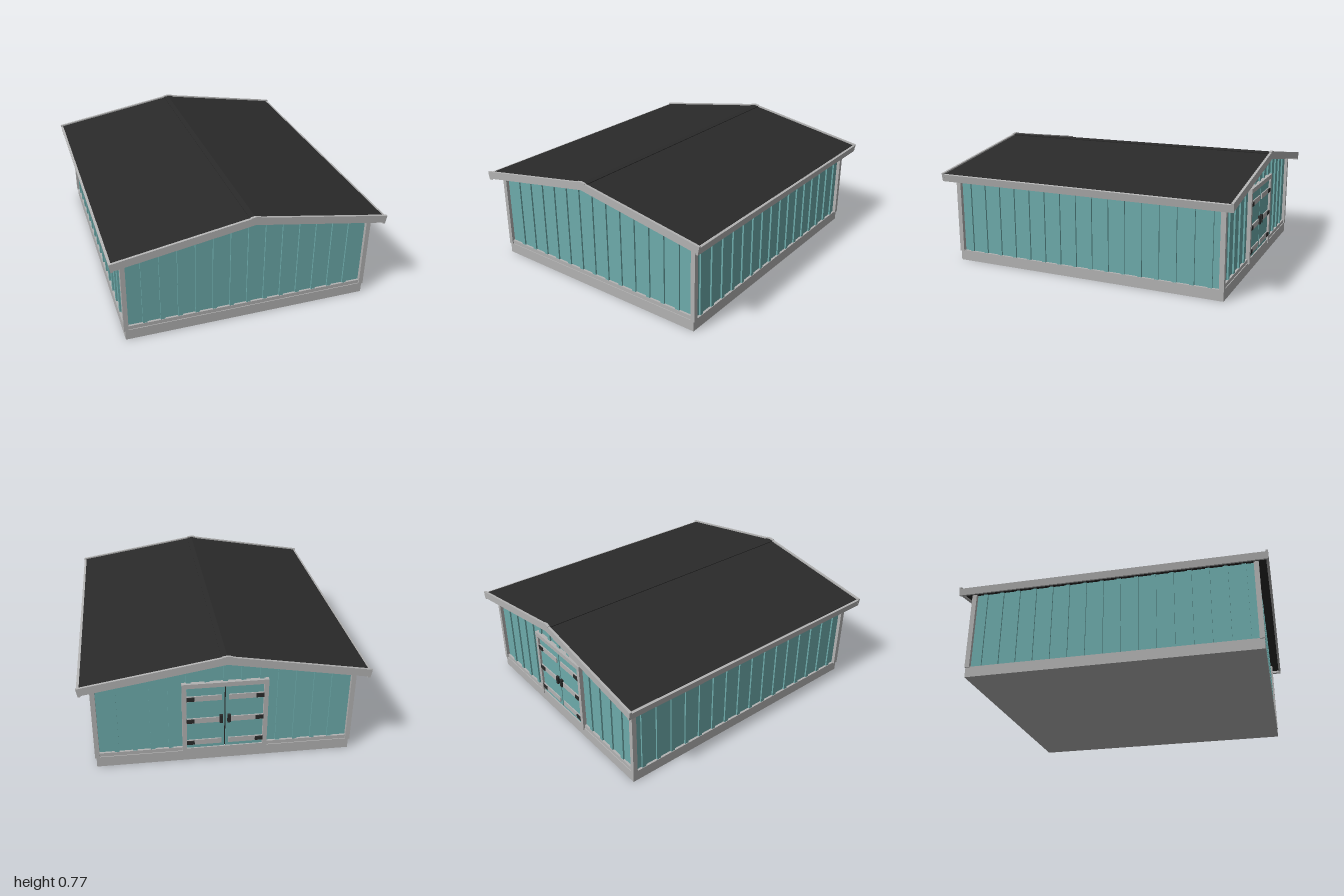
import * as THREE from 'three';

const SLOPE = 0.17;

export function createModel() {
  const model = new THREE.Group();
  model.name = 'shed';
  const mat = (name, color) => {
    const m = new THREE.MeshStandardMaterial({ color });
    m.name = name;
    return m;
  };
  const trim = mat('grey trim', 0xb3b3b3);
  const teal = mat('teal siding', 0x6dabab);
  const black = mat('black roofing', 0x2a2a2a);

  const add = (name, geometry, material, parent = model) => {
    const mesh = new THREE.Mesh(geometry, material);
    mesh.name = name;
    parent.add(mesh);
    return mesh;
  };
  // Box given by its low and high limits on each axis
  const box = (name, x0, x1, y0, y1, z0, z1, material, parent) => {
    const mesh = add(name, new THREE.BoxGeometry(x1 - x0, y1 - y0, z1 - z0), material, parent);
    mesh.position.set((x0 + x1) / 2, (y0 + y1) / 2, (z0 + z1) / 2);
    return mesh;
  };
  // Outline in x and y, pulled along z
  const prism = (name, points, z0, z1, material) => {
    const shape = new THREE.Shape(points.map(([x, y]) => new THREE.Vector2(x, y)));
    const geometry = new THREE.ExtrudeGeometry(shape, { depth: z1 - z0, bevelEnabled: false });
    return add(name, geometry.translate(0, 0, z0), material);
  };
  // Roof-shaped band with ends cut square to the slope
  const chevron = (name, half, peak, thick, z0, z1, material) => {
    const e = peak - SLOPE * half;
    const inner = half - SLOPE * thick;
    const low = peak - thick - SLOPE * inner;
    return prism(name, [[0, peak], [-half, e], [-inner, low], [0, peak - thick],
      [inner, low], [half, e]], z0, z1, material);
  };

  // Base and walls
  box('base', -0.8, 0.8, 0, 0.07, -0.935, 0.935, trim);
  const wallTop = (x) => 0.735 - SLOPE * Math.abs(x);
  prism('walls', [[-0.785, 0.065], [0.785, 0.065], [0.785, wallTop(0.785)], [0, wallTop(0)],
    [-0.785, wallTop(0.785)]], -0.916, 0.916, teal);

  // Raised siding ribs on the gable walls, stopping above the door at the back
  for (let i = -6; i <= 6; i++) {
    const x = i * 0.112;
    const top = wallTop(Math.abs(x) + 0.014);
    box('frontRib', x - 0.014, x + 0.014, 0.07, top, 0.91, 0.927, teal);
    box('backRib', x - 0.014, x + 0.014, Math.abs(x) < 0.27 ? 0.55 : 0.07, top, -0.927, -0.91, teal);
  }
  // Ribs on the long walls
  for (let i = -7.5; i <= 7.5; i++) {
    const z = i * 0.113;
    for (const s of [-1, 1]) {
      const rib = box('sideRib', -0.008, 0.008, 0.065, 0.598, z - 0.014, z + 0.014, teal);
      rib.position.x = s * 0.788;
    }
  }

  // Corner posts and bottom rails of the gable walls
  for (const sx of [-1, 1]) {
    for (const sz of [-1, 1]) {
      const post = box('cornerPost', -0.0145, 0.0145, 0.066, 0.6, -0.0155, 0.0155, trim);
      post.position.x = sx * 0.7935;
      post.position.z = sz * 0.9225;
    }
    box('backSill', sx < 0 ? -0.78 : 0.25, sx < 0 ? -0.25 : 0.78, 0.07, 0.095, -0.93, -0.91, trim);
  }
  box('frontSill', -0.78, 0.78, 0.07, 0.095, 0.91, 0.93, trim);

  // Roof, ridge cap and edge boards
  chevron('roof', 0.862, 0.756, 0.03, -0.985, 0.985, black);
  chevron('ridgeCap', 0.032, 0.761, 0.01, -0.985, 0.985, black);
  for (const s of [-1, 1]) {
    const z0 = s > 0 ? 0.984 : -1;
    chevron('gableFascia', 0.88, 0.765, 0.05, z0, z0 + 0.016, trim);
    chevron('ridgeEnd', 0.032, 0.769, 0.01, z0, z0 + 0.016, trim);
    const eave = box('eaveFascia', -0.008, 0.008, -0.0235, 0.0235, -0.999, 0.999, trim);
    eave.position.set(s * 0.866, 0.584, 0);
    eave.rotation.z = -s * Math.atan(SLOPE);
  }

  // Double door on the back wall
  const door = new THREE.Group();
  door.name = 'doubleDoor';
  model.add(door);
  for (const s of [-1, 1]) {
    const side = (name, a, b, y0, y1, z0, z1, material) =>
      box(name, Math.min(s * a, s * b), Math.max(s * a, s * b), y0, y1, z0, z1, material, door);
    side('doorPost', 0.238, 0.265, 0.06, 0.56, -0.942, -0.91, trim);
    side('doorLeaf', 0.004, 0.236, 0.085, 0.53, -0.929, -0.91, teal);
    for (const y of [0.13, 0.29, 0.45]) {
      side('doorRail', 0.022, 0.236, y - 0.018, y + 0.018, -0.936, -0.92, trim);
      side('hinge', 0.19, 0.238, y - 0.013, y + 0.013, -0.942, -0.93, black);
    }
    side('handle', 0.014, 0.034, 0.27, 0.325, -0.946, -0.925, black);
  }
  box('doorGap', -0.004, 0.004, 0.085, 0.53, -0.92, -0.91, black, door);
  box('doorLintel', -0.265, 0.265, 0.53, 0.56, -0.943, -0.91, trim, door);
  box('doorSill', -0.238, 0.238, 0.065, 0.087, -0.937, -0.91, trim, door);

  return model;
}
